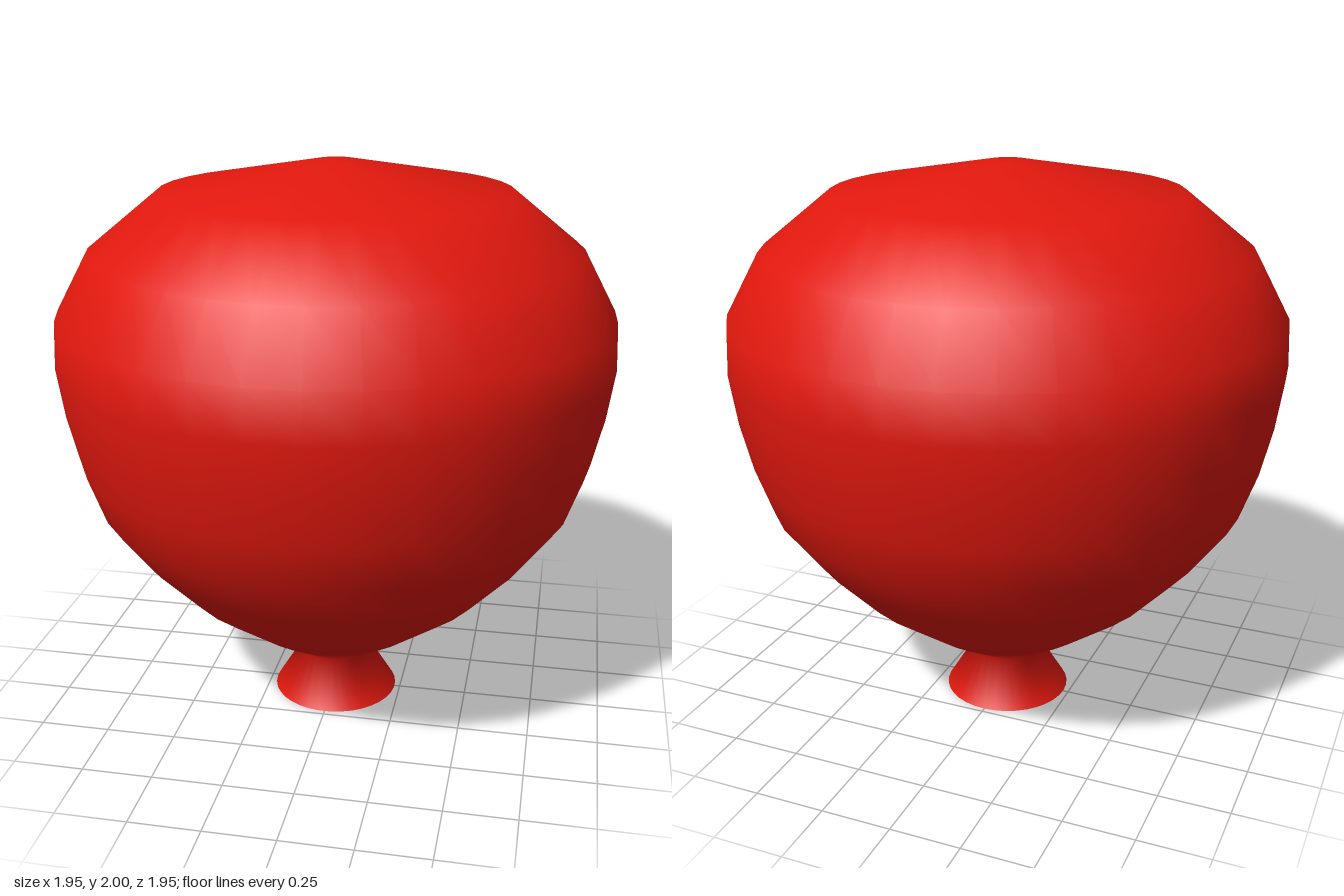
import * as THREE from 'three';

export function createModel() {
  const group = new THREE.Group();
  group.name = 'balloon';

  const material = new THREE.MeshStandardMaterial({ color: 0xe0180e, side: THREE.DoubleSide });

  // Outline from the open flared mouth, through the pinched neck, up to the crown: [radius, height]
  const profile = [
    [0.23, 0], [0.13, 0.165], [0.34, 0.3], [0.565, 0.47], [0.72, 0.635],
    [0.85, 0.81], [0.91, 0.98], [0.95, 1.15], [0.975, 1.325], [0.967, 1.49],
    [0.85, 1.705], [0.608, 1.9], [0.07, 2], [0, 2],
  ].map(([r, y]) => new THREE.Vector2(r, y));

  // Thin smooth skin, open at the mouth
  const skin = new THREE.Mesh(new THREE.LatheGeometry(profile, 35, Math.PI), material);
  skin.name = 'balloonSkin';
  group.add(skin);

  return group;
}
